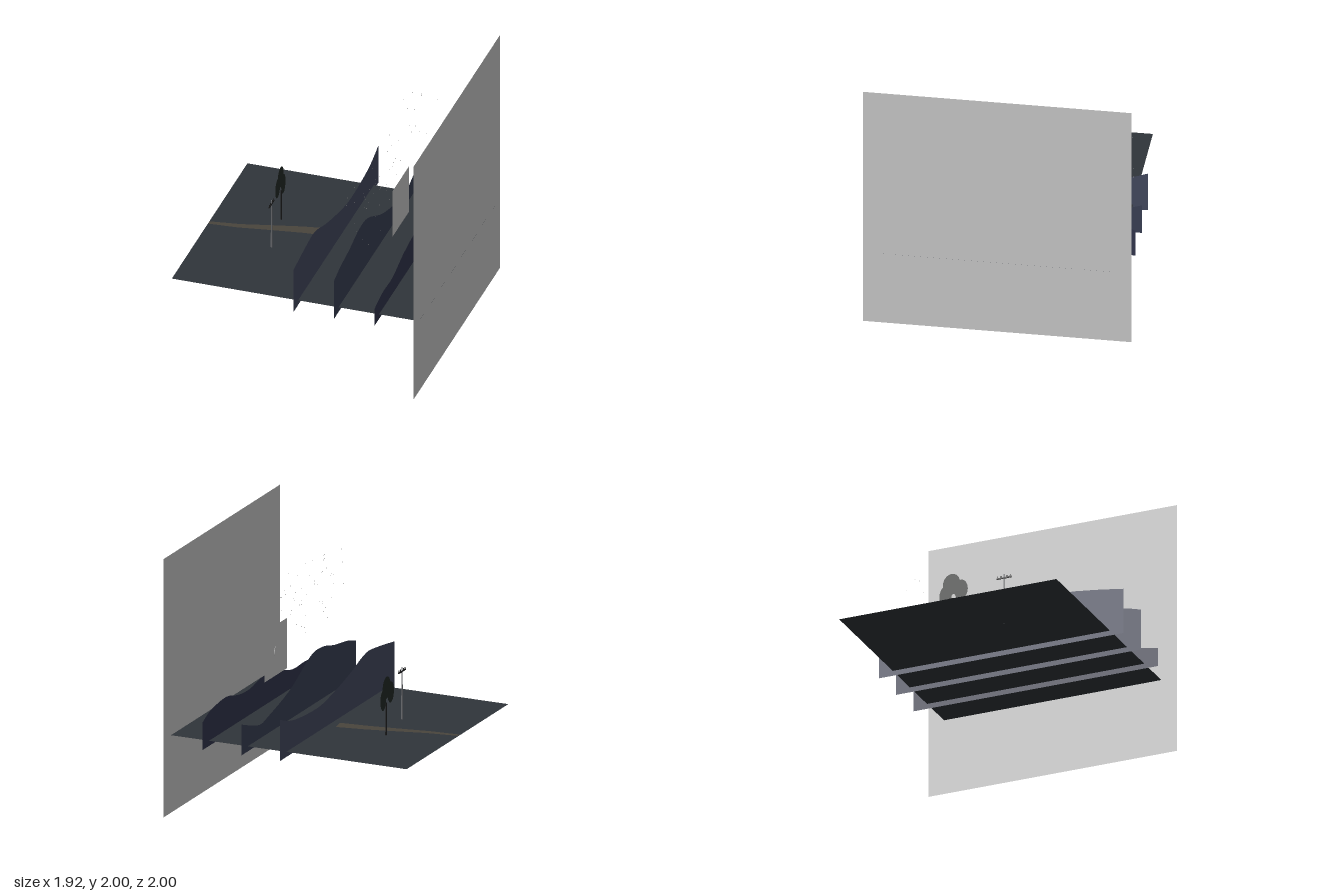
import * as THREE from 'three';

const GROUND = 0.6;

const paint = (color) => new THREE.MeshStandardMaterial({ color, side: THREE.DoubleSide });

function add(parent, name, geometry, material, x = 0, y = 0, z = 0) {
  const mesh = new THREE.Mesh(geometry, material);
  mesh.name = name;
  mesh.position.set(x, y, z);
  parent.add(mesh);
  return mesh;
}

// Turns a flat geometry so that it faces -x, its width running along +z
const upright = (geometry) => geometry.rotateY(-Math.PI / 2);

// Flat hill silhouette: smooth crest over a straight base, points are [z, y]
function ridgeGeometry(crest) {
  const base = 0.56;
  const shape = new THREE.Shape();
  shape.moveTo(crest[0][0], base);
  shape.lineTo(...crest[0]);
  shape.splineThru(crest.slice(1).map((p) => new THREE.Vector2(...p)));
  shape.lineTo(crest[crest.length - 1][0], base);
  return upright(new THREE.ShapeGeometry(shape, 4));
}

// Strip widening along its length, rows are [xA, zA, xB, zB]
function pathGeometry(rows) {
  const positions = [];
  const index = [];
  rows.forEach(([xa, za, xb, zb], i) => {
    positions.push(xa, 0, za, xb, 0, zb);
    const a = 2 * i;
    if (i < rows.length - 1) index.push(a, a + 1, a + 3, a, a + 3, a + 2);
  });
  const geometry = new THREE.BufferGeometry();
  geometry.setAttribute('position', new THREE.Float32BufferAttribute(positions, 3));
  geometry.setIndex(index);
  geometry.computeVertexNormals();
  return geometry;
}

function createRidges() {
  const group = new THREE.Group();
  group.name = 'ridges';
  const ridges = [
    ['nearRidge', 0.02, 0x444a60, [[-0.985, 0.88], [-0.75, 0.81], [-0.34, 0.785], [-0.06, 0.825],
      [0.22, 0.89], [0.49, 0.97], [0.7, 0.96], [0.985, 0.92]]],
    ['middleRidge', 0.335, 0x3a4056, [[-0.985, 0.8], [-0.69, 0.71], [-0.52, 0.73], [-0.14, 0.83],
      [0.2, 0.985], [0.41, 1.0], [0.62, 0.955], [0.83, 0.925], [0.985, 0.885]]],
    ['farRidge', 0.65, 0x32364e, [[-0.985, 0.775], [-0.84, 0.83], [-0.58, 0.855], [-0.37, 0.81],
      [-0.17, 0.8], [0.04, 0.83], [0.31, 0.8], [0.56, 0.74], [0.8, 0.74], [0.985, 0.705]]],
  ];
  for (const [name, x, color, crest] of ridges) add(group, name, ridgeGeometry(crest), paint(color), x);
  return group;
}

function createTree() {
  const group = new THREE.Group();
  group.name = 'tree';
  group.position.set(-0.47, GROUND, -0.19);
  add(group, 'trunk', new THREE.CylinderGeometry(0.005, 0.007, 0.25, 8), paint(0x1a1a1a), 0, 0.125, 0);
  // Flat overlapping leaf clumps: [z, y, radius in z, radius in y]
  const clumps = [[0.005, 0.365, 0.07, 0.085], [0.08, 0.31, 0.055, 0.08], [-0.045, 0.28, 0.05, 0.08]];
  clumps.forEach(([z, y, rz, ry], i) => {
    const leaf = new THREE.CircleGeometry(1, 20).scale(rz, ry, 1);
    add(group, 'leafClump', upright(leaf), paint(0x222a26), (i - 1) * 0.002, y, z);
  });
  return group;
}

function createPole() {
  const group = new THREE.Group();
  group.name = 'utilityPole';
  group.position.set(-0.41, GROUND, 0.21);
  add(group, 'post', new THREE.CylinderGeometry(0.005, 0.007, 0.4, 8), paint(0x6a6c70), 0, 0.2, 0);
  add(group, 'crossarm', new THREE.BoxGeometry(0.007, 0.01, 0.12), paint(0x1c1c1c), 0, 0.37, 0);
  for (const z of [-0.05, -0.025, 0.025, 0.05]) {
    add(group, 'insulator', new THREE.CylinderGeometry(0.003, 0.004, 0.014, 6), paint(0x1c1c1c), 0, 0.382, z);
  }
  return group;
}

function createStars() {
  const group = new THREE.Group();
  group.name = 'stars';
  let seed = 7;
  const random = () => (seed = (seed * 16807) % 2147483647) / 2147483647;
  const geometry = upright(new THREE.PlaneGeometry(0.006, 0.006));
  const material = paint(0xcccccc);
  for (let i = 0; i < 110; i++) {
    add(group, 'star', geometry, material, 0.35 + 0.25 * random(), 1.1 + 0.5 * random(), -0.95 + 1.9 * random());
  }
  return group;
}

export function createModel() {
  const model = new THREE.Group();
  model.name = 'nightLandscape';
  const grey = paint(0xcccccc);

  // Sky and ground sheets
  add(model, 'skyBackdrop', upright(new THREE.PlaneGeometry(2, 2)), grey, 0.962, 1, 0);
  add(model, 'ground', new THREE.PlaneGeometry(1.925, 1.75).rotateX(-Math.PI / 2), paint(0x30353a), 0, GROUND, 0);

  // Track across the ground
  add(model, 'track', pathGeometry([
    [-0.96, 0.01, -0.96, 0.045], [-0.73, -0.025, -0.74, 0.028], [-0.5, -0.085, -0.49, -0.015],
    [-0.28, -0.14, -0.26, -0.052], [-0.055, -0.18, -0.04, -0.075],
  ]), paint(0x4a453d), 0, GROUND + 0.003, 0);

  // Moon in front of its halo sheet
  add(model, 'moonHalo', upright(new THREE.PlaneGeometry(0.385, 0.39)), grey, 0.53, 1.06, 0.018);
  add(model, 'moon', new THREE.CylinderGeometry(0.035, 0.035, 0.003, 28).rotateZ(Math.PI / 2), grey, 0.525, 1.055, 0.015);

  model.add(createRidges(), createTree(), createPole(), createStars());
  return model;
}
